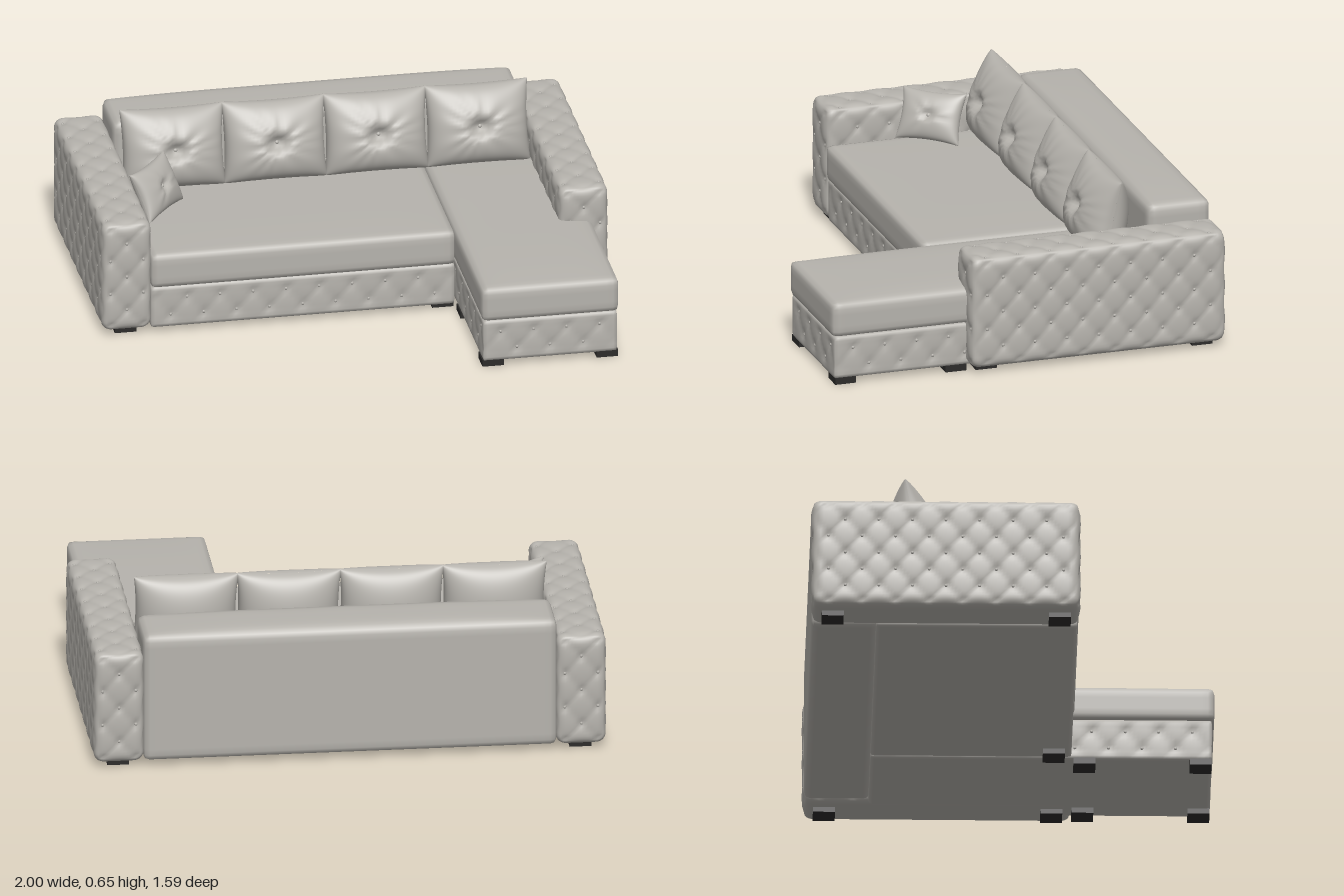
import * as THREE from 'three';
import { mergeGeometries, mergeVertices } from 'three/addons/utils/BufferGeometryUtils.js';

const fabric = new THREE.MeshStandardMaterial({ color: 0xb6b3ad });
fabric.name = 'warm grey upholstery';
const footPaint = new THREE.MeshStandardMaterial({ color: 0x2c2b2a });
footPaint.name = 'dark feet';

const PITCH_A = 0.13, PITCH_B = 0.14; // diamond tuft spacing
const AXES = ['x', 'y', 'z'];
// in-face axes [a, b] for each face normal
const PLANE = { x: ['z', 'y'], y: ['z', 'x'], z: ['x', 'y'] };

function mesh(name, geometry, material = fabric) {
  const m = new THREE.Mesh(geometry, material);
  m.name = name;
  return m;
}

function smooth(geometry) {
  geometry.deleteAttribute('normal');
  geometry.deleteAttribute('uv');
  const g = mergeVertices(geometry, 1e-5);
  g.computeVertexNormals();
  return g;
}

// diamond quilting depth: shallow creases plus deep dimples at the buttons
function tuftDepth(a, b) {
  const u = a / PITCH_A, v = b / PITCH_B;
  const s = Math.sin(Math.PI * (u + v)), t = Math.sin(Math.PI * (u - v));
  const crease = 1 - Math.sqrt(Math.abs(s * t));
  return 0.4 * crease + 0.6 * Math.exp(-4 * (s * s + t * t));
}

// Soft box between two corners; opts: radius, step, dome, tufted faces, depth, row shift
function softBox(name, min, max, opts) {
  const { r = 0.02, step = 0.03, dome = 0, faces = [], depth = 0.013, shift = 0 } = opts;
  const lo = new THREE.Vector3(...min), hi = new THREE.Vector3(...max);
  const size = hi.clone().sub(lo), half = size.clone().multiplyScalar(0.5);
  const seg = AXES.map(k => Math.max(2, Math.round(size[k] / step)));
  const geo = new THREE.BoxGeometry(size.x, size.y, size.z, ...seg);
  const pos = geo.attributes.position;
  const inset = half.clone().subScalar(r);
  const p = new THREE.Vector3(), core = new THREE.Vector3(), dir = new THREE.Vector3();
  for (let i = 0; i < pos.count; i++) {
    p.fromBufferAttribute(pos, i);
    core.copy(p).clamp(inset.clone().negate(), inset);
    dir.copy(p).sub(core).normalize();
    let push = 0;
    for (const f of faces) {
      const k = f[1], sign = f[0] === '+' ? 1 : -1;
      if (Math.abs(p[k] - sign * half[k]) > 1e-4) continue;
      const [a, b] = PLANE[k];
      const edge = Math.min(half[a] - Math.abs(p[a]), half[b] - Math.abs(p[b]));
      push = depth * tuftDepth(p[a], p[b] + shift) * THREE.MathUtils.smoothstep(edge, 0, 0.035);
    }
    const swell = p.y > 0 ? dome * (1 - (p.x / half.x) ** 4) * (1 - (p.z / half.z) ** 4) : 0;
    core.addScaledVector(dir, r - push);
    pos.setXYZ(i, core.x, core.y + swell, core.z);
  }
  const group = new THREE.Group();
  group.name = name;
  group.position.copy(lo).add(hi).multiplyScalar(0.5);
  group.add(mesh(name + 'Body', smooth(geo)));

  // buttons at the diamond corners
  const buttons = [];
  for (const f of faces) {
    const k = f[1], sign = f[0] === '+' ? 1 : -1, [a, b] = PLANE[k];
    for (let i = -12; i <= 12; i++) for (let j = -6; j <= 6; j++) {
      if ((i + j) % 2) continue;
      const c = new THREE.Vector3();
      c[a] = i * PITCH_A / 2;
      c[b] = j * PITCH_B / 2 - shift;
      if (half[a] - Math.abs(c[a]) < 0.025 || half[b] - Math.abs(c[b]) < 0.025) continue;
      c[k] = sign * (half[k] - depth + 0.001);
      buttons.push(new THREE.SphereGeometry(0.007, 6, 4).translate(c.x, c.y, c.z));
    }
  }
  if (buttons.length) group.add(mesh(name + 'Buttons', mergeGeometries(buttons)));
  return group;
}

// Pillow with pinched edges, a centre dimple and radial creases on its front
function pillow(name, w, h, t, { n = 40, pinch = 0.05, sag = 0, folds = 13, crease = 0.005 }) {
  const front = new THREE.PlaneGeometry(2, 2, n, n);
  const back = new THREE.PlaneGeometry(2, 2, n, n).rotateY(Math.PI);
  const count = front.attributes.position.count;
  const geo = mergeGeometries([front, back]);
  const pos = geo.attributes.position;
  for (let i = 0; i < pos.count; i++) {
    const u = Math.sin(pos.getX(i) * Math.PI / 2), v = Math.sin(pos.getY(i) * Math.PI / 2);
    const rim = Math.max(0, (1 - u * u) * (1 - v * v));
    let z = t / 2 * Math.pow(rim, 0.42) * (1 - sag * v);
    if (i < count) {
      const rr = u * u + v * v, ang = Math.atan2(v, u);
      z -= t * 0.22 * Math.exp(-rr / 0.04);
      z += crease * Math.sin(ang * folds + 2 * Math.sin(ang * 3)) * Math.exp(-rr / 0.4) * Math.min(1, rr * 12);
    }
    pos.setXYZ(i, w / 2 * u * (1 - pinch * (1 - v * v)), h / 2 * v * (1 - pinch * (1 - u * u)), i < count ? z : -z);
  }
  const group = new THREE.Group();
  group.name = name;
  group.add(mesh(name + 'Body', smooth(geo)));
  const button = mesh(name + 'Button', new THREE.SphereGeometry(0.009, 10, 6));
  button.position.z = t * 0.28;
  group.add(button);
  return group;
}

export function createModel() {
  const sofa = new THREE.Group();
  sofa.name = 'cornerSofa';

  // tufted arms
  for (const s of [-1, 1]) {
    const x0 = s < 0 ? -1 : 0.8;
    sofa.add(softBox(s < 0 ? 'rightArm' : 'leftArm', [x0, 0.02, -0.795], [x0 + 0.2, 0.478, 0.25],
      { r: 0.042, step: 0.0125, faces: ['+x', '-x', '+y', '+z', '-z'] }));
  }

  // plain back
  sofa.add(softBox('backrest', [-0.805, 0.022, -0.79], [0.805, 0.54, -0.535], { r: 0.025, step: 0.025, dome: 0.014 }));

  // main seat
  sofa.add(softBox('seatBase', [-0.805, 0.022, -0.54], [0.393, 0.192, 0.24],
    { r: 0.01, step: 0.016, faces: ['+z'], shift: 0.035, depth: 0.011 }));
  sofa.add(softBox('seatCushion', [-0.805, 0.192, -0.54], [0.393, 0.332, 0.25], { r: 0.018, step: 0.025, dome: 0.005 }));

  // chaise
  sofa.add(softBox('chaiseBase', [0.4, 0.022, -0.54], [0.93, 0.192, 0.785],
    { r: 0.01, step: 0.016, faces: ['+z', '+x', '-x'], shift: 0.035, depth: 0.011 }));
  sofa.add(softBox('chaiseCushion', [0.395, 0.192, -0.54], [0.935, 0.33, 0.793], { r: 0.02, step: 0.025, dome: 0.012 }));

  // four leaning back cushions
  for (let i = 0; i < 4; i++) {
    const c = pillow('backCushion' + (i + 1), 0.408, 0.325, 0.215, { sag: 0.2 });
    c.position.set(-0.6 + i * 0.4, 0.49, -0.395);
    c.rotation.x = -0.2;
    sofa.add(c);
  }

  // small throw pillow against the right arm
  const small = pillow('throwPillow', 0.265, 0.205, 0.1, { n: 28, pinch: 0.1, folds: 4, crease: 0.004 });
  small.position.set(-0.71, 0.438, -0.15);
  small.rotation.set(-0.45, 0.87, 0, 'YXZ');
  sofa.add(small);

  // block feet
  const feet = [[-0.9, -0.71], [-0.9, 0.17], [0.9, -0.71], [0.9, 0.17], [0.35, 0.17],
    [0.44, 0.29], [0.89, 0.29], [0.44, 0.74], [0.89, 0.74]];
  for (const [x, z] of feet) {
    const foot = mesh('foot', new THREE.BoxGeometry(0.085, 0.026, 0.085), footPaint);
    foot.position.set(x, 0.013, z);
    sofa.add(foot);
  }
  return sofa;
}
